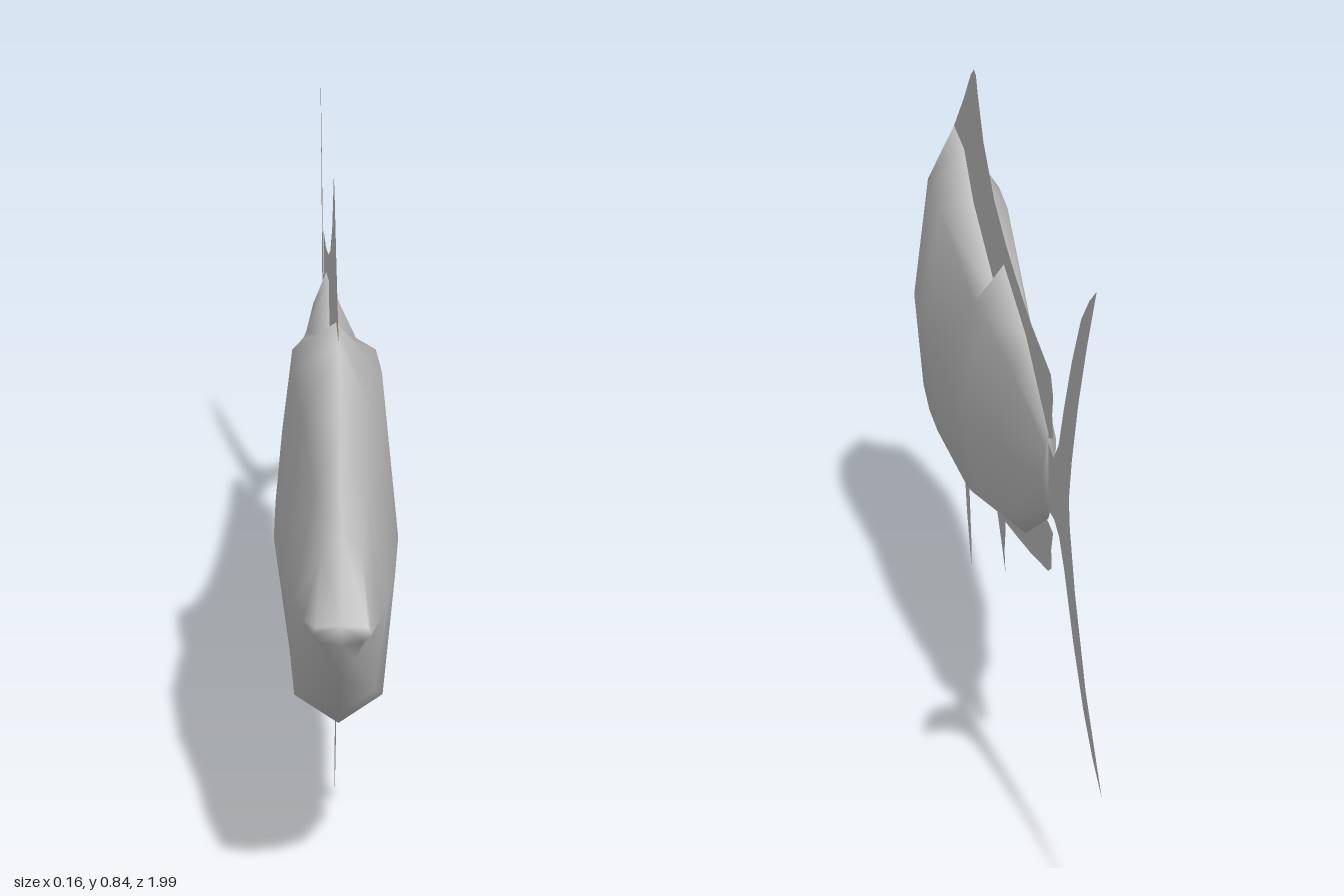
import * as THREE from 'three';

const grey = new THREE.MeshStandardMaterial({ color: 0xc4c4c4, side: THREE.DoubleSide });
grey.name = 'grey';

// Body sections from snout to tail:
// z, ridge y, shoulder x/y, flank x/y, belly x/y, keel y
const SECTIONS = [
  [0.99, 0.42, 0.03, 0.418, 0.035, 0.41, 0.025, 0.40, 0.395],
  [0.94, 0.52, 0.024, 0.49, 0.046, 0.41, 0.016, 0.36, 0.335],
  [0.885, 0.62, 0.032, 0.55, 0.057, 0.41, 0.042, 0.30, 0.27],
  [0.77, 0.70, 0.045, 0.61, 0.07, 0.41, 0.055, 0.25, 0.212],
  [0.6, 0.685, 0.058, 0.62, 0.08, 0.40, 0.06, 0.245, 0.2],
  [0.45, 0.62, 0.055, 0.61, 0.078, 0.40, 0.06, 0.245, 0.2],
  [0.08, 0.53, 0.038, 0.53, 0.069, 0.39, 0.05, 0.25, 0.215],
  [0.02, 0.60, 0.033, 0.525, 0.066, 0.39, 0.047, 0.255, 0.22],
  [-0.25, 0.55, 0.02, 0.50, 0.043, 0.40, 0.03, 0.29, 0.265],
  [-0.5, 0.47, 0.004, 0.45, 0.008, 0.41, 0.004, 0.37, 0.355],
];

// Smooth loft through eight-point sections, closed at both ends
function bodyGeometry() {
  const n = 8, pos = [], idx = [];
  for (const [z, top, sx, sy, mx, my, lx, ly, keel] of SECTIONS) {
    const ring = [[0, top], [sx, sy], [mx, my], [lx, ly], [0, keel], [-lx, ly], [-mx, my], [-sx, sy]];
    for (const [x, y] of ring) pos.push(x, y, z);
  }
  const last = (SECTIONS.length - 1) * n;
  for (let i = 0; i < SECTIONS.length - 1; i++) {
    for (let k = 0; k < n; k++) {
      const a = i * n + k, b = i * n + (k + 1) % n;
      idx.push(a, b, a + n, b, b + n, a + n);
    }
  }
  for (let k = 1; k < n - 1; k++) {
    idx.push(0, k + 1, k);
    idx.push(last, last + k, last + k + 1);
  }
  const geo = new THREE.BufferGeometry();
  geo.setAttribute('position', new THREE.Float32BufferAttribute(pos, 3));
  geo.setIndex(idx);
  geo.computeVertexNormals();
  return geo;
}

// Flat fin on the centre plane, outlined by [z, y] points
function fin(name, outline) {
  const shape = new THREE.Shape(outline.map(([z, y]) => new THREE.Vector2(z, y)));
  const mesh = new THREE.Mesh(new THREE.ShapeGeometry(shape).rotateY(-Math.PI / 2), grey);
  mesh.name = name;
  return mesh;
}

export function createModel() {
  const fish = new THREE.Group();
  fish.name = 'fish';

  const body = new THREE.Mesh(bodyGeometry(), grey);
  body.name = 'body';
  fish.add(body);

  fish.add(fin('dorsalFin', [
    [0.77, 0.70], [0.6, 0.77], [0.49, 0.822], [0.44, 0.836], [0.41, 0.83], [0.385, 0.805],
    [0.3, 0.74], [0.15, 0.675], [0, 0.635], [-0.15, 0.605], [-0.3, 0.58], [-0.52, 0.555],
    [-0.545, 0.53], [-0.535, 0.505], [-0.545, 0.475], [-0.5, 0.465], [-0.4, 0.45],
    [-0.25, 0.50], [0.08, 0.50], [0.45, 0.59], [0.6, 0.65],
  ]));

  fish.add(fin('tailFin', [
    [-0.45, 0.465], [-0.55, 0.45], [-0.6, 0.48], [-0.65, 0.54], [-0.72, 0.615], [-0.8, 0.685],
    [-0.87, 0.722], [-0.93, 0.745], [-0.85, 0.66], [-0.78, 0.575], [-0.725, 0.49], [-0.7, 0.435],
    [-0.71, 0.40], [-0.76, 0.33], [-0.86, 0.235], [-1, 0.15], [-0.92, 0.172], [-0.84, 0.205],
    [-0.75, 0.26], [-0.66, 0.33], [-0.61, 0.36], [-0.56, 0.37], [-0.45, 0.365],
  ]));

  fish.add(fin('analFin', [
    [0.05, 0.23], [0, 0.213], [-0.15, 0.232], [-0.3, 0.252], [-0.5, 0.283], [-0.535, 0.297],
    [-0.53, 0.32], [-0.548, 0.348], [-0.5, 0.35], [-0.4, 0.345], [-0.25, 0.30],
  ]));

  fish.add(fin('pelvicFin', [
    [0.65, 0.22], [0.64, 0.19], [0.57, 0.075], [0.5, 0], [0.495, 0.025], [0.505, 0.06],
    [0.53, 0.13], [0.54, 0.22],
  ]));

  fish.add(fin('ventFin', [
    [0.14, 0.225], [0.11, 0.2], [0.05, 0.165], [0, 0.135], [0.012, 0.165], [0, 0.195], [0, 0.23],
  ]));

  return fish;
}
